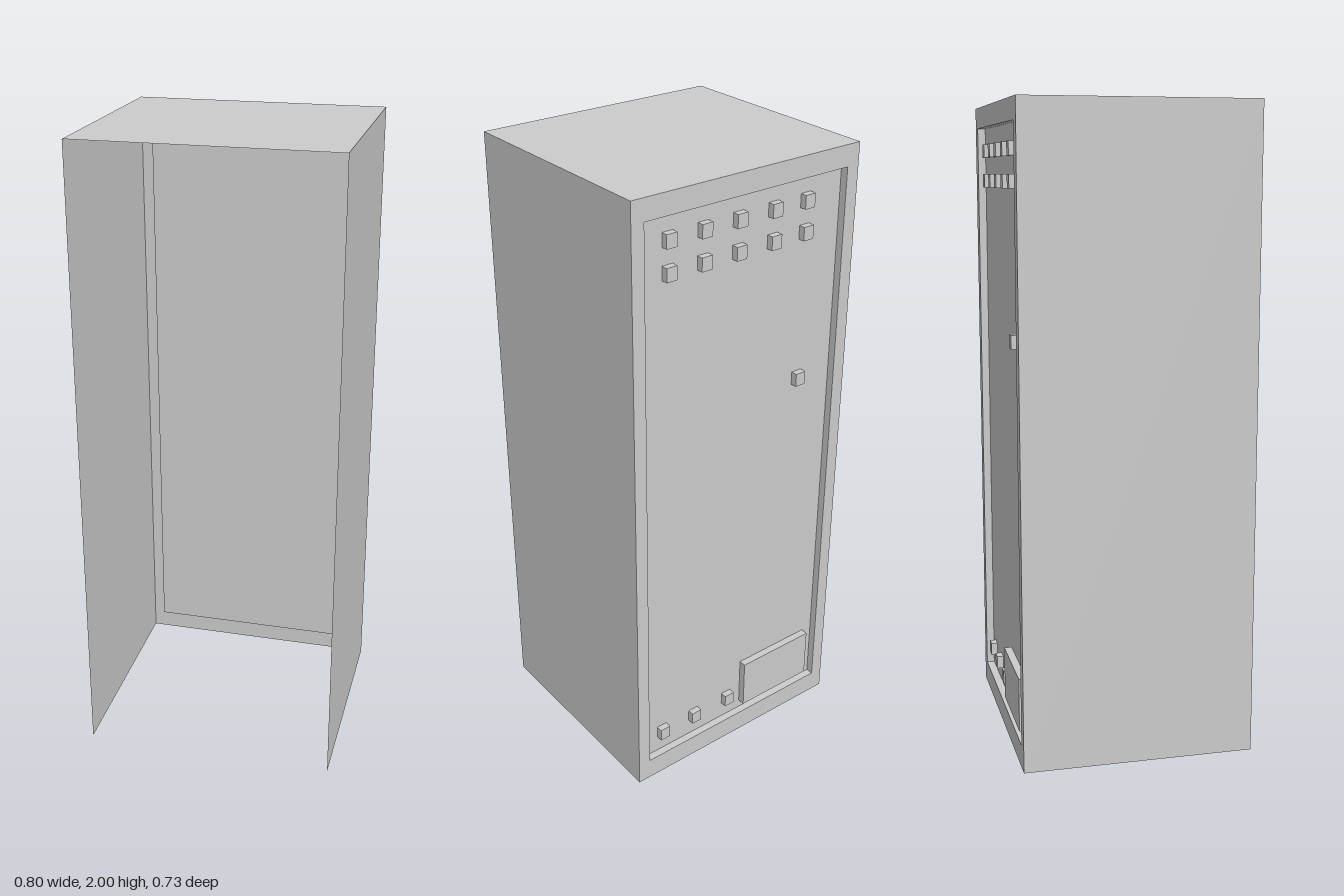
import * as THREE from 'three';

const W = 0.8, H = 2, D = 0.725;          // cabinet size
const BACK = -D / 2, DEPTH = 0.025;       // back plane and depth of its recess
const PW = 0.716, PB = 0.072, PT = 1.934; // recessed panel width, bottom, top

const material = new THREE.MeshStandardMaterial({ color: 0xcccccc, side: THREE.DoubleSide });

function add(group, name, geometry, x, y, z, rx = 0, ry = 0) {
  const mesh = new THREE.Mesh(geometry, material);
  mesh.name = name;
  mesh.position.set(x, y, z);
  mesh.rotation.set(rx, ry, 0);
  group.add(mesh);
  return mesh;
}

const sheet = (w, h) => new THREE.PlaneGeometry(w, h);

export function createModel() {
  const model = new THREE.Group();
  model.name = 'cabinet';

  // Thin outer shell, open at the front and the bottom
  for (const s of [-1, 1]) {
    add(model, s > 0 ? 'leftWall' : 'rightWall', sheet(D, H), s * W / 2, H / 2, 0, 0, s * Math.PI / 2);
  }
  add(model, 'top', sheet(W, D), 0, H, 0, -Math.PI / 2);

  // Back frame around the recess
  const frame = new THREE.Shape([
    new THREE.Vector2(-W / 2, 0), new THREE.Vector2(W / 2, 0),
    new THREE.Vector2(W / 2, H), new THREE.Vector2(-W / 2, H),
  ]);
  frame.holes.push(new THREE.Path([
    new THREE.Vector2(-PW / 2, PB), new THREE.Vector2(-PW / 2, PT),
    new THREE.Vector2(PW / 2, PT), new THREE.Vector2(PW / 2, PB),
  ]));
  add(model, 'backFrame', new THREE.ShapeGeometry(frame), 0, 0, BACK, 0, Math.PI);

  // Recess walls and recessed panel
  const midY = (PB + PT) / 2, midZ = BACK + DEPTH / 2, panelZ = BACK + DEPTH;
  for (const s of [-1, 1]) {
    add(model, 'recessSide', sheet(DEPTH, PT - PB), s * PW / 2, midY, midZ, 0, -s * Math.PI / 2);
    add(model, s > 0 ? 'recessTop' : 'recessBottom', sheet(PW, DEPTH),
      0, s > 0 ? PT : PB, midZ, s * Math.PI / 2);
  }
  add(model, 'backPanel', sheet(PW, PT - PB), 0, midY, panelZ, 0, Math.PI);

  // Small blocks standing on the back panel
  const block = new THREE.BoxGeometry(0.036, 0.042, 0.021);
  const addBlock = (name, x, y) => add(model, name, block, x, y, panelZ - 0.0105);
  for (const y of [1.86, 1.765]) {
    for (const x of [0.265, 0.145, 0.022, -0.105, -0.225]) addBlock('upperBlock', x, y);
  }
  addBlock('latchBlock', -0.225, 1.295);
  for (const x of [0.29, 0.16, 0.02]) addBlock('lowerBlock', x, 0.15);

  // Raised cover plate in the lower corner
  add(model, 'coverPlate', new THREE.BoxGeometry(0.28, 0.17, DEPTH - 0.001),
    -0.18, 0.185, panelZ - (DEPTH - 0.001) / 2);

  return model;
}
